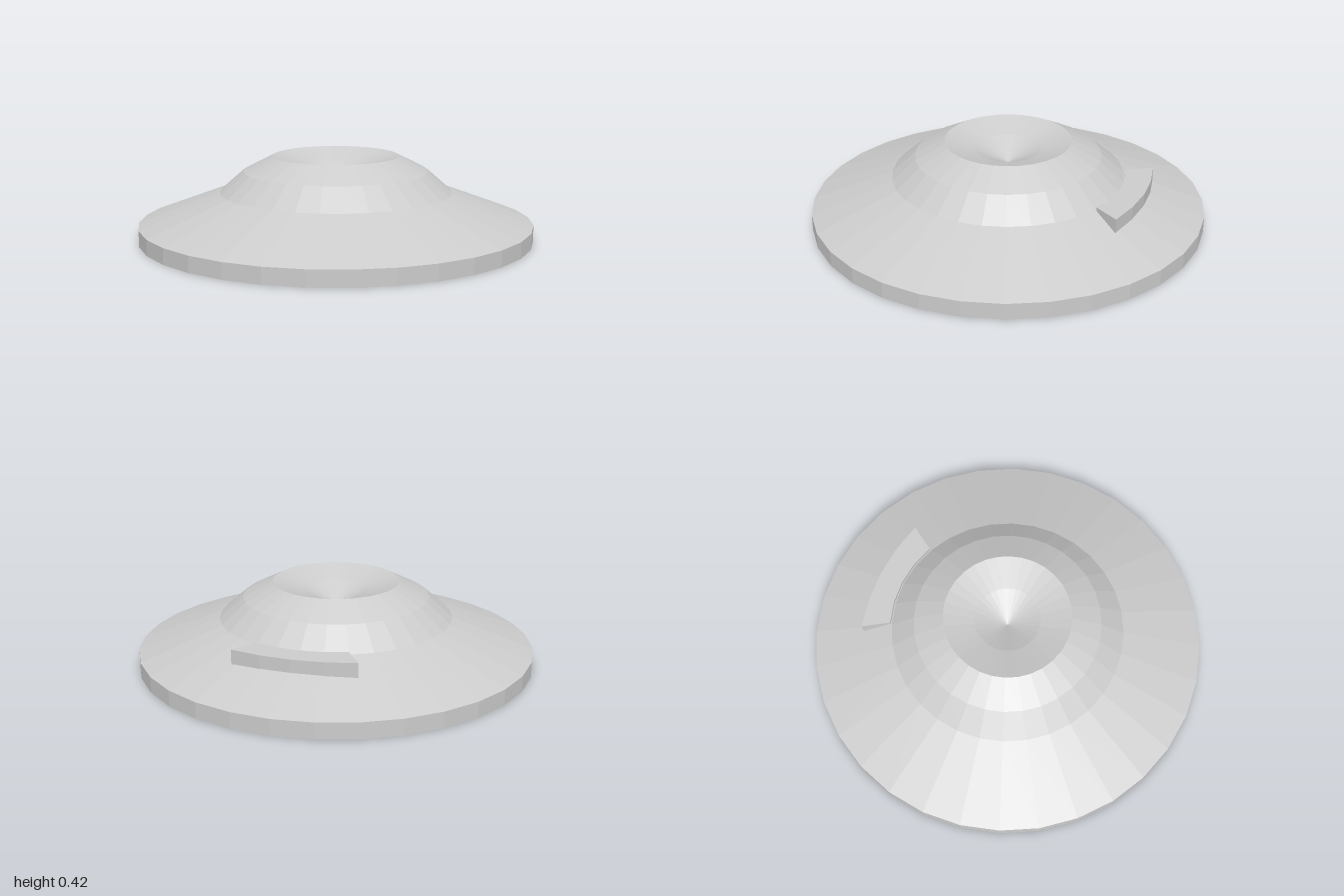
import * as THREE from 'three';

const material = new THREE.MeshStandardMaterial({ color: 0xcccccc, flatShading: true });

// Low dome with a flat base, stepped slopes and a conical dish in the top
function makeDome() {
  const profile = [
    [0, 0], [1, 0], [1, 0.08], [0.59, 0.235], [0.47, 0.34], [0.32, 0.417],
    [0.165, 0.367], [0, 0.288],
  ].map(([r, y]) => new THREE.Vector2(r, y));
  const dome = new THREE.Mesh(new THREE.LatheGeometry(profile, 32), material);
  dome.name = 'dome';
  return dome;
}

// Curved ledge: a wedge section swept across the rear slope, flat on top
function makeLedge() {
  const inner = [[-0.226, -0.553], [-0.115, -0.586], [0, -0.597], [0.115, -0.586], [0.226, -0.553]];
  const outer = [[-0.305, -0.675], [-0.155, -0.708], [0, -0.72], [0.155, -0.708], [0.305, -0.675]];
  const top = 0.25;
  const positions = [];
  const index = [];
  inner.forEach(([x, z], i) => {
    const [ox, oz] = outer[i];
    positions.push(x, top, z, ox, top, oz, ox, 0.178, oz, x, 0.23, z);
  });
  const quad = (a, b, c, d) => index.push(a, b, c, a, c, d);
  for (let i = 0; i < inner.length - 1; i++) {
    for (let j = 0; j < 4; j++) {
      const k = (j + 1) % 4;
      quad(i * 4 + j, i * 4 + 4 + j, i * 4 + 4 + k, i * 4 + k);
    }
  }
  // End caps
  const last = (inner.length - 1) * 4;
  quad(0, 1, 2, 3);
  quad(last + 3, last + 2, last + 1, last);

  const geometry = new THREE.BufferGeometry();
  geometry.setAttribute('position', new THREE.Float32BufferAttribute(positions, 3));
  geometry.setIndex(index);
  const flat = geometry.toNonIndexed();
  flat.computeVertexNormals();
  const ledge = new THREE.Mesh(flat, material);
  ledge.name = 'rearLedge';
  return ledge;
}

export function createModel() {
  const group = new THREE.Group();
  group.name = 'dishedDome';
  group.add(makeDome(), makeLedge());
  return group;
}
